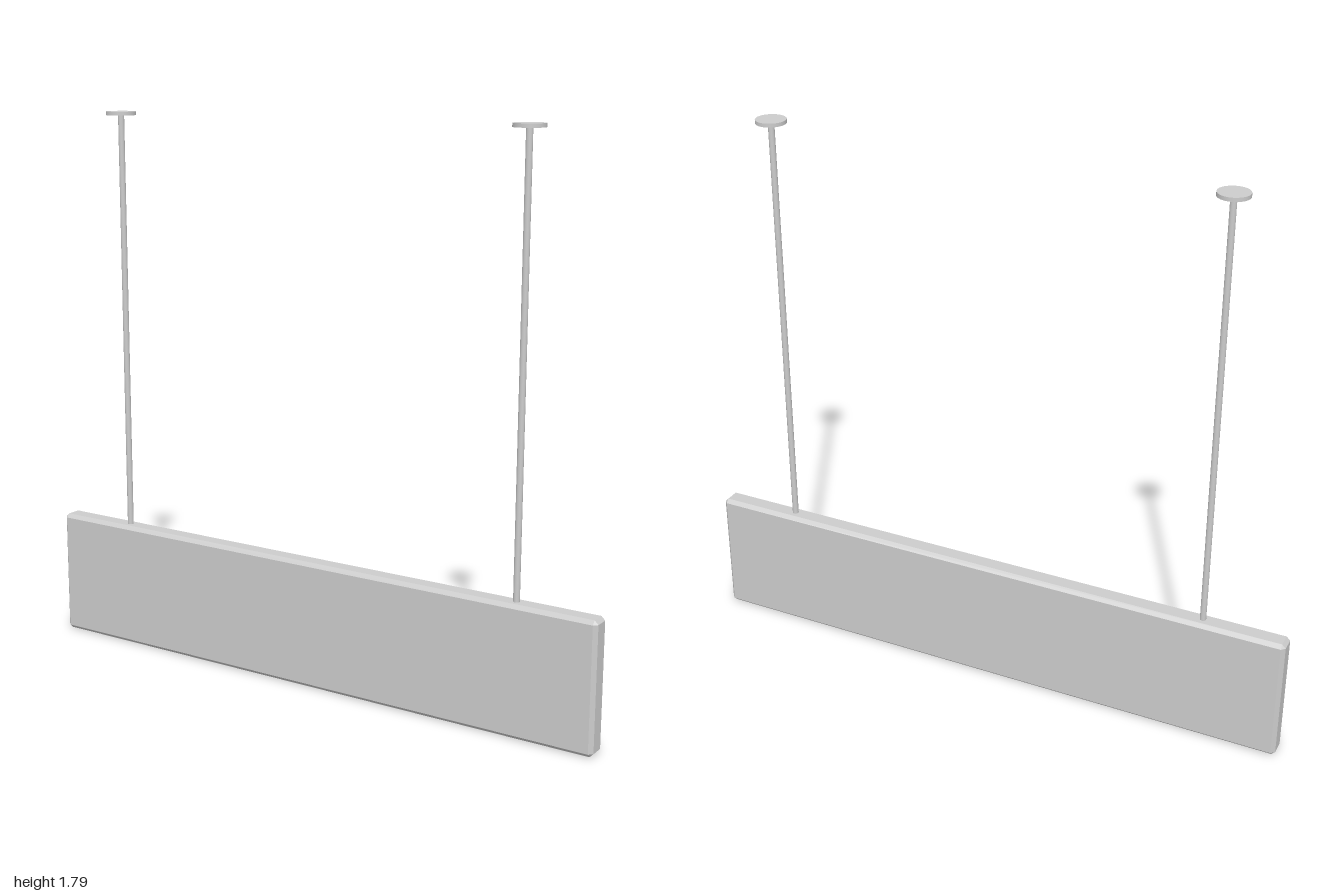
import * as THREE from 'three';
import { ConvexGeometry } from 'three/addons/geometries/ConvexGeometry.js';

const PANEL = { w: 2, h: 0.415, d: 0.07, bevel: 0.012 };
const TOP = 1.795, CAP_H = 0.012, ROD_X = 0.73;

// Box with every edge and corner chamfered, centred on the origin
function chamferedBox(w, h, d, c) {
  const points = [];
  for (const sx of [-1, 1]) for (const sy of [-1, 1]) for (const sz of [-1, 1]) {
    const x = w / 2, y = h / 2, z = d / 2;
    points.push(
      new THREE.Vector3(sx * x, sy * (y - c), sz * (z - c)),
      new THREE.Vector3(sx * (x - c), sy * y, sz * (z - c)),
      new THREE.Vector3(sx * (x - c), sy * (y - c), sz * z)
    );
  }
  return new ConvexGeometry(points);
}

export function createModel() {
  const model = new THREE.Group();
  model.name = 'hangingSign';
  const grey = new THREE.MeshStandardMaterial({ color: 0xcccccc });
  grey.name = 'light grey';

  const add = (name, geometry, x, y) => {
    const mesh = new THREE.Mesh(geometry, grey);
    mesh.name = name;
    mesh.position.set(x, y, 0);
    model.add(mesh);
  };

  // Sign board
  add('panel', chamferedBox(PANEL.w, PANEL.h, PANEL.d, PANEL.bevel), 0, PANEL.h / 2);

  // Two suspension rods with round ceiling plates
  const rodBottom = PANEL.h - 0.005, rodTop = TOP - CAP_H / 2;
  const rod = new THREE.CylinderGeometry(0.01, 0.01, rodTop - rodBottom, 12);
  const plate = new THREE.CylinderGeometry(0.048, 0.048, CAP_H, 24);
  for (const [side, s] of [['left', 1], ['right', -1]]) {
    add(side + 'Rod', rod, s * ROD_X, (rodTop + rodBottom) / 2);
    add(side + 'CeilingPlate', plate, s * ROD_X, TOP - CAP_H / 2);
  }
  return model;
}
